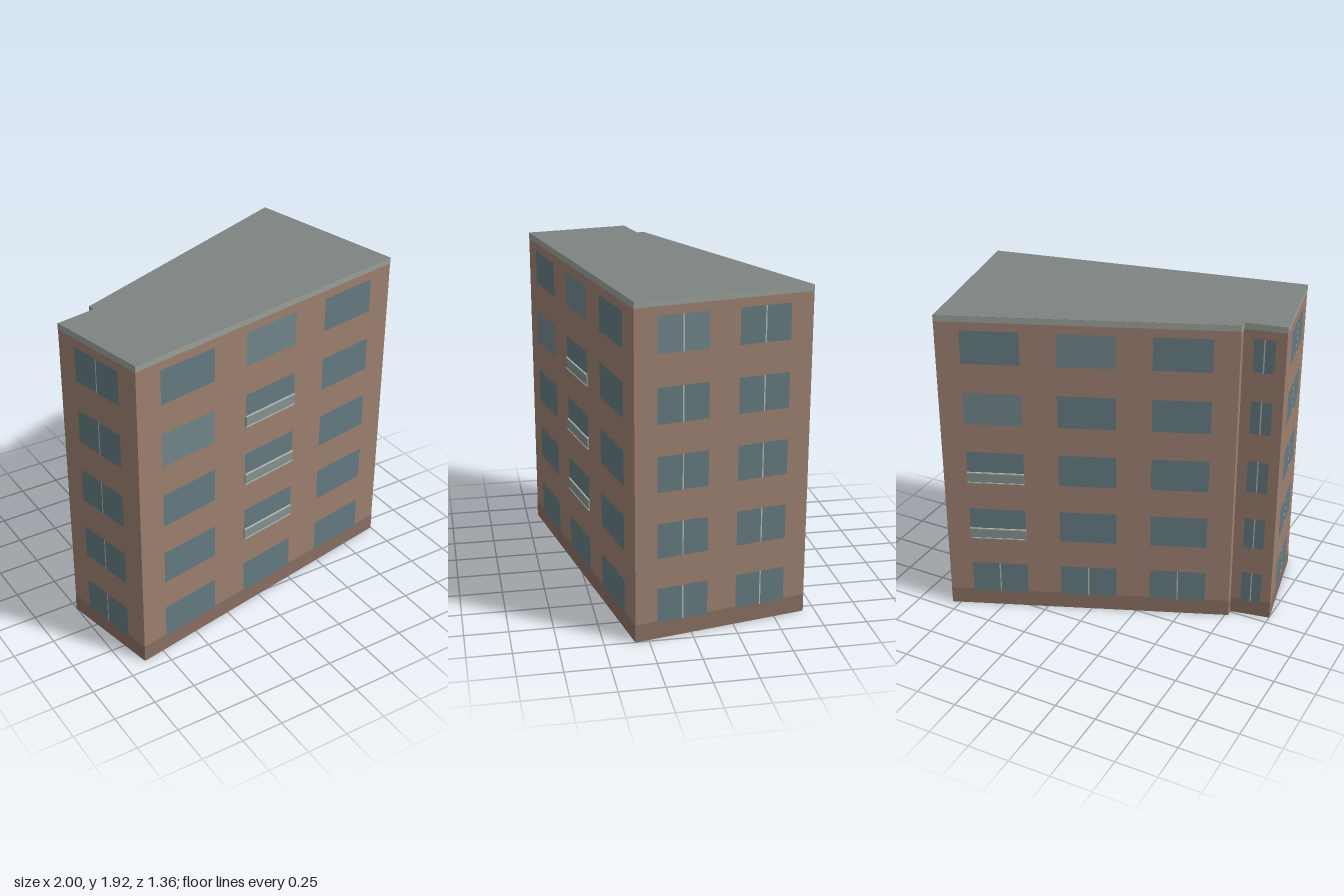
import * as THREE from 'three';

const HEIGHT = 1.92, PLINTH = 0.105, COPING = 0.035, WINDOW_H = 0.203;
const SILLS = [0.098, 0.481, 0.865, 1.249, 1.632];

const mat = (color, side = THREE.FrontSide) => new THREE.MeshStandardMaterial({ color, side });

// Footprint corners [x, z], counter-clockwise seen from above
const A = [-0.88, 0.677], B = [1.0, 0.325], C = [0.8, -0.682];
const D = [-0.767, -0.035], E = [-0.762, 0.009], F = [-1.0, 0.055];

// Each wall: ends, window spans as fractions of its length,
// rules for mullions, balconies and paler panes by (column, floor)
const none = () => false, all = () => true;
const threeBays = [[0.083, 0.28], [0.4, 0.598], [0.717, 0.914]];
const WALLS = [
  { name: 'frontWall', from: A, to: B, bays: threeBays, mullion: none,
    balcony: (c, f) => c === 1 && f >= 1 && f <= 3,
    pale: (c, f) => (c === 1 && f === 4) || (c === 0 && f === 3) },
  { name: 'rightEndWall', from: B, to: C, bays: [[0.124, 0.413], [0.582, 0.871]],
    mullion: all, balcony: none, pale: (c, f) => c === 0 && f === 4 },
  { name: 'backWall', from: C, to: D, bays: threeBays, mullion: (c, f) => f === 0,
    balcony: (c, f) => c === 0 && (f === 1 || f === 2),
    pale: (c, f) => (c === 0 && f === 3) || (c === 1 && f === 4) },
  { name: 'stepWall', from: D, to: E, bays: [], mullion: none, balcony: none, pale: none },
  { name: 'recessWall', from: E, to: F, bays: [[0.25, 0.75]], mullion: all, balcony: none, pale: none },
  { name: 'leftEndWall', from: F, to: A, bays: [[0.22, 0.78]], mullion: all, balcony: none, pale: none },
];

export function createModel() {
  const model = new THREE.Group();
  model.name = 'apartmentBlock';

  const brick = mat(0x9c7f70, THREE.DoubleSide);
  const plinth = mat(0x8a6f62);
  const coping = mat(0x9aa09a);
  const roofGrey = mat(0x7c8481, THREE.DoubleSide);
  const glass = mat(0x647a80);
  const paleGlass = mat(0x70858a);
  const frame = mat(0xb4b8ac);
  const panel = mat(0x84928f);

  // Flat panel from (x0, y0) to (x1, y1) in a wall's own plane
  const addPanel = (group, name, x0, x1, y0, y1, z, material) => {
    const mesh = new THREE.Mesh(new THREE.PlaneGeometry(x1 - x0, y1 - y0), material);
    mesh.position.set((x0 + x1) / 2, (y0 + y1) / 2, z);
    mesh.name = name;
    group.add(mesh);
  };
  const addBox = (group, name, x0, x1, y0, y1, depth, material) => {
    const mesh = new THREE.Mesh(new THREE.BoxGeometry(x1 - x0, y1 - y0, depth), material);
    mesh.position.set((x0 + x1) / 2, (y0 + y1) / 2, depth / 2);
    mesh.name = name;
    group.add(mesh);
  };

  for (const w of WALLS) {
    const dx = w.to[0] - w.from[0], dz = w.to[1] - w.from[1];
    const length = Math.hypot(dx, dz);

    // Local x runs along the wall, local z points outwards
    const wall = new THREE.Group();
    wall.name = w.name;
    wall.position.set(w.from[0], 0, w.from[1]);
    wall.rotation.y = Math.atan2(-dz, dx);
    model.add(wall);

    addPanel(wall, 'brickwork', 0, length, 0, HEIGHT, 0, brick);
    addPanel(wall, 'plinth', 0, length, 0, PLINTH, 0.002, plinth);
    addPanel(wall, 'coping', 0, length, HEIGHT - COPING, HEIGHT, 0.002, coping);

    w.bays.forEach(([start, end], column) => SILLS.forEach((sill, floor) => {
      const x0 = start * length, x1 = end * length, mid = (x0 + x1) / 2;
      const pane = w.pale(column, floor) ? paleGlass : glass;
      addPanel(wall, 'window', x0, x1, sill, sill + WINDOW_H, 0.004, pane);
      if (w.mullion(column, floor)) {
        addPanel(wall, 'mullion', mid - 0.004, mid + 0.004, sill, sill + WINDOW_H, 0.006, frame);
      }
      // Shallow balcony: parapet panel between two slim rails
      if (w.balcony(column, floor)) {
        addBox(wall, 'balconyPanel', x0, x1, sill, sill + 0.068, 0.009, panel);
        addBox(wall, 'balconyBottomRail', x0, x1, sill - 0.002, sill + 0.005, 0.012, frame);
        addBox(wall, 'balconyTopRail', x0, x1, sill + 0.063, sill + 0.07, 0.012, frame);
      }
    }));
  }

  // Flat roof over the whole footprint; the underside of the shell stays open
  const outline = new THREE.Shape([A, B, C, D, E, F].map(([x, z]) => new THREE.Vector2(x, -z)));
  const roof = new THREE.Mesh(new THREE.ShapeGeometry(outline), roofGrey);
  roof.rotation.x = -Math.PI / 2;
  roof.position.y = HEIGHT;
  roof.name = 'roof';
  model.add(roof);

  return model;
}
